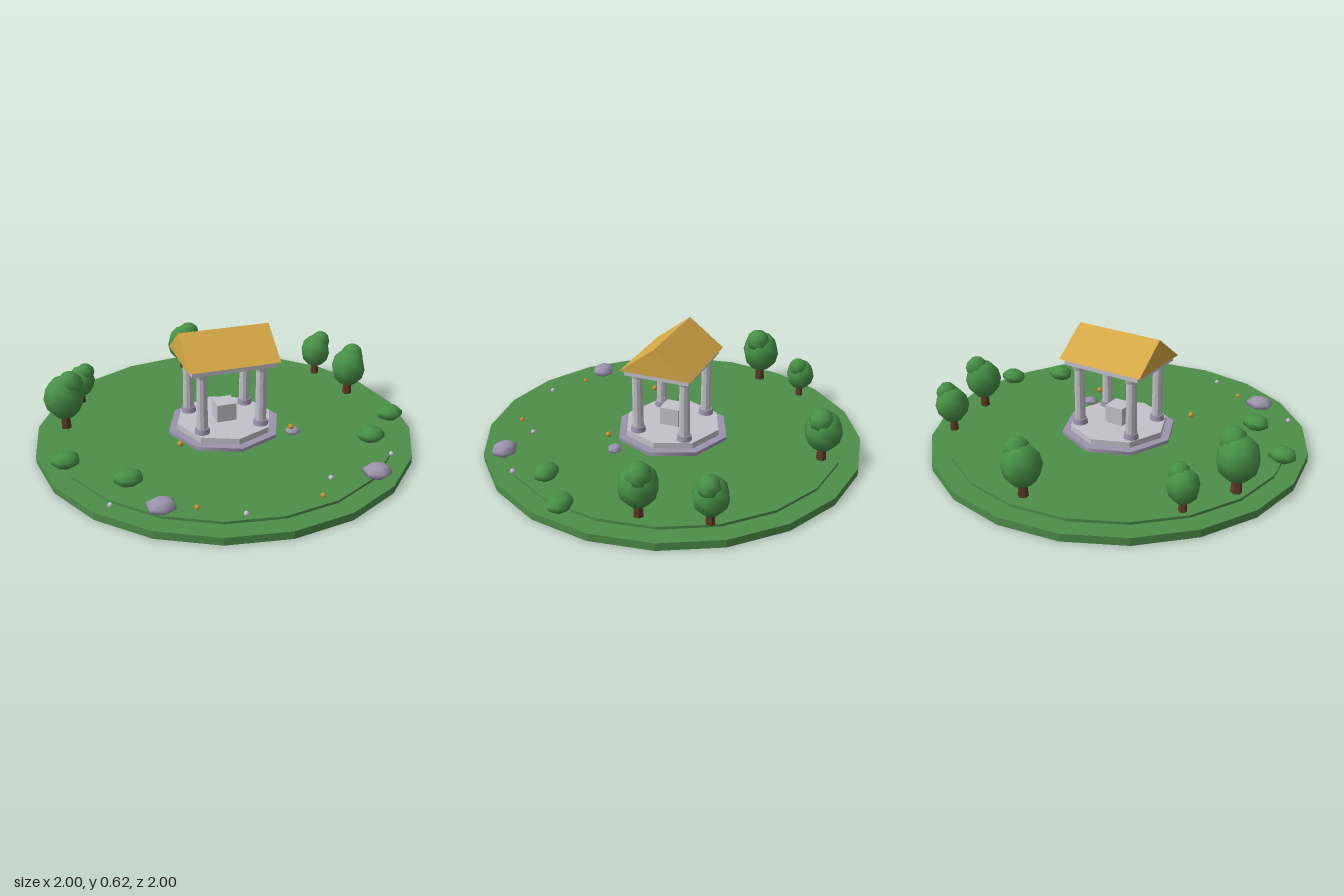
import * as THREE from 'three';

const paint = (name, color) => {
  const m = new THREE.MeshStandardMaterial({ color });
  m.name = name;
  return m;
};

export function createModel() {
  const root = new THREE.Group();
  root.name = 'gardenTemple';

  const grass = paint('grass green', 0x4e8f4a);
  const leaf = paint('leaf green', 0x489147);
  const bark = paint('bark brown', 0x5f3a26);
  const marble = paint('pale marble', 0xc3c1ca);
  const stone = paint('lilac stone', 0x9c94ac);
  const gold = paint('roof gold', 0xd6a945);
  const amber = paint('amber', 0xd4922f);
  const petal = paint('lilac petal', 0xc9bcd6);
  for (const m of [grass, marble, gold, bark]) m.flatShading = true;

  const add = (parent, name, geo, mat, x = 0, y = 0, z = 0) => {
    const mesh = new THREE.Mesh(geo, mat);
    mesh.name = name;
    mesh.position.set(x, y, z);
    parent.add(mesh);
    return mesh;
  };
  // Upright cylinder given by its bottom and top heights
  const drum = (parent, name, rTop, rBottom, y0, y1, sides, mat, x = 0, z = 0) =>
    add(parent, name, new THREE.CylinderGeometry(rTop, rBottom, y1 - y0, sides), mat, x, (y0 + y1) / 2, z);
  const group = (name, x = 0, y = 0, z = 0) => {
    const g = new THREE.Group();
    g.name = name;
    g.position.set(x, y, z);
    root.add(g);
    return g;
  };

  // Ground: two stacked twenty-sided discs
  const GROUND = 0.054;
  drum(root, 'groundBase', 1, 1, 0, 0.04, 20, grass);
  drum(root, 'lawn', 0.9, 0.9, 0.04, GROUND, 20, grass);

  // Temple floor and block
  const temple = group('temple');
  drum(temple, 'lowerStep', 0.305, 0.305, GROUND, 0.073, 8, stone);
  drum(temple, 'upperStep', 0.26, 0.26, 0.073, 0.105, 8, marble);
  add(temple, 'altar', new THREE.BoxGeometry(0.105, 0.098, 0.105), marble, 0, 0.153, 0);

  // Four columns with bases and capitals
  for (const sx of [-1, 1]) {
    for (const sz of [-1, 1]) {
      const x = sx * 0.16, z = sz * 0.13;
      drum(temple, 'columnBase', 0.036, 0.041, 0.105, 0.133, 10, stone, x, z);
      drum(temple, 'columnShaft', 0.027, 0.03, 0.133, 0.413, 10, marble, x, z);
      drum(temple, 'columnCapital', 0.039, 0.031, 0.413, 0.44, 10, marble, x, z);
    }
  }

  // Beam slab and gabled roof
  add(temple, 'beam', new THREE.BoxGeometry(0.445, 0.03, 0.35), marble, 0, 0.455, 0);
  const gable = new THREE.Shape([
    new THREE.Vector2(-0.191, 0), new THREE.Vector2(0.191, 0), new THREE.Vector2(0, 0.145),
  ]);
  const roofGeo = new THREE.ExtrudeGeometry(gable, { depth: 0.486, bevelEnabled: false });
  roofGeo.translate(0, 0, -0.243).rotateY(Math.PI / 2);
  add(temple, 'roof', roofGeo, gold, 0, 0.47, 0);

  // Trees: x, z, scale, crown offset x and z
  const trees = [
    [0, -0.81, 1, 0.03, 0.01],
    [-0.68, -0.52, 0.8, 0.027, 0.01],
    [-0.81, -0.24, 1.1, 0.034, 0.01],
    [0.74, -0.485, 0.9, 0.03, 0],
    [0.805, -0.165, 1, 0.027, -0.016],
  ];
  for (const [x, z, s, ox, oz] of trees) {
    const tree = group('tree', x, GROUND, z);
    drum(tree, 'trunk', 0.019 * s, 0.026 * s, 0, 0.1 * s, 6, bark);
    add(tree, 'foliage', new THREE.SphereGeometry(0.098 * s, 8, 6), leaf, 0, 0.162 * s, 0).scale.y = 1.1;
    add(tree, 'crown', new THREE.SphereGeometry(0.063 * s, 8, 6), leaf, ox, 0.231 * s, oz);
  }

  // Bushes
  for (const [x, z] of [[-0.87, 0.16], [-0.61, 0.415], [0.89, 0.19], [0.68, 0.385]]) {
    add(root, 'bush', new THREE.SphereGeometry(0.075, 7, 5), leaf, x, 0.084, z).scale.set(1, 0.56, 0.82);
  }

  // Rocks
  for (const [x, z, s] of [[-0.515, 0.675, 1], [0.55, 0.705, 1], [0.32, 0.19, 0.58]]) {
    const geo = new THREE.SphereGeometry(0.076, 6, 5).rotateY(Math.PI / 6);
    const rock = add(root, 'rock', geo, stone, x, GROUND + 0.018 * s, z);
    rock.scale.set(s, 0.48 * s, 0.85 * s);
  }

  // Small blossoms on the lawn and two amber orbs beside the steps
  const bud = new THREE.SphereGeometry(0.013, 8, 6);
  for (const [x, z] of [[-0.73, 0.58], [-0.165, 0.835], [0.32, 0.675], [0.705, 0.56]]) {
    add(root, 'lilacBlossom', bud, petal, x, 0.06, z);
  }
  for (const [x, z] of [[-0.36, 0.72], [0.222, 0.805]]) add(root, 'amberBlossom', bud, amber, x, 0.06, z);
  const orb = new THREE.SphereGeometry(0.015, 8, 6);
  for (const x of [-0.307, 0.288]) add(root, 'amberOrb', orb, amber, x, 0.121, 0.24);

  return root;
}
